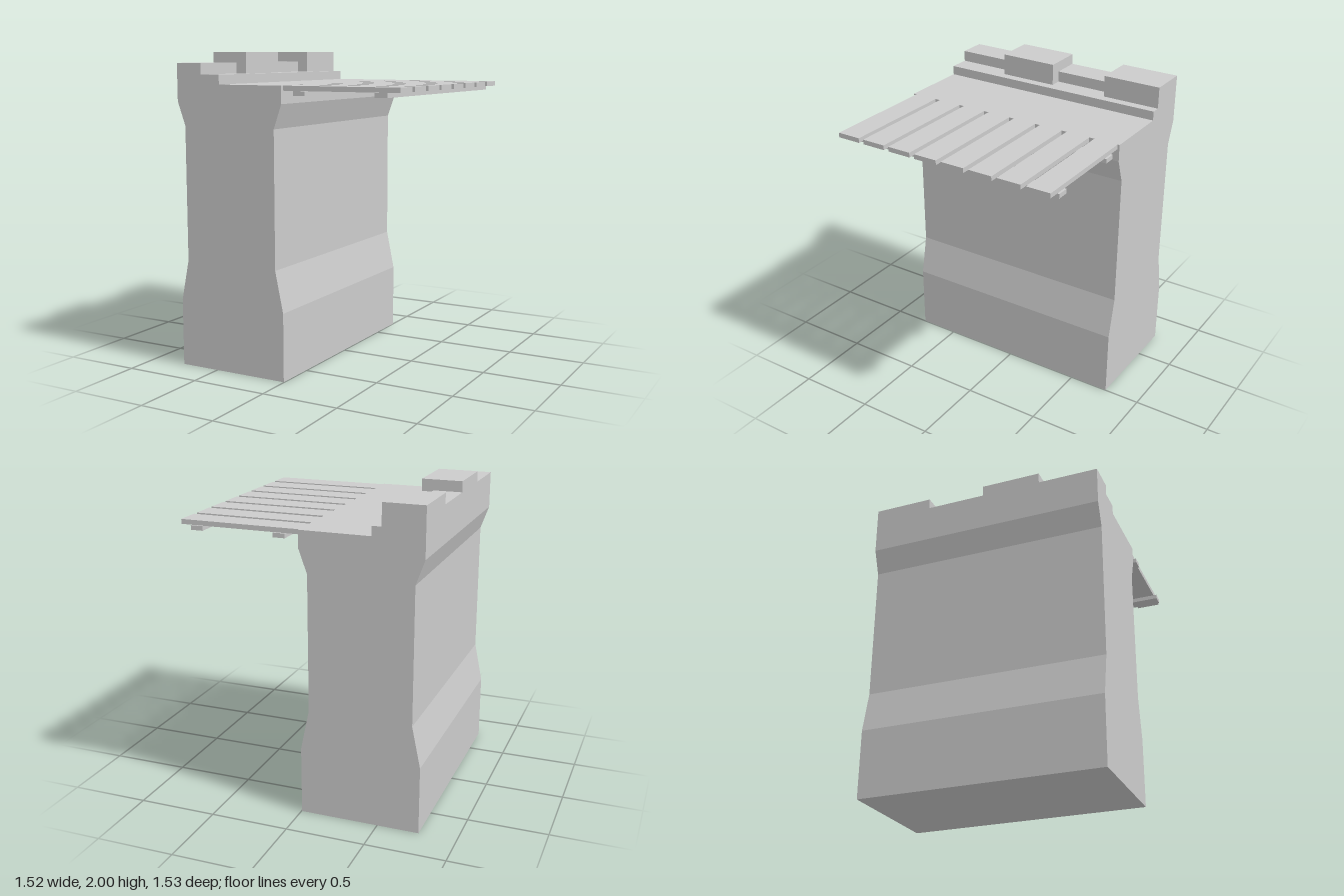
import * as THREE from 'three';

const material = new THREE.MeshStandardMaterial({ color: 0xcccccc, flatShading: true });
const HALF = 0.763; // half length of the wall along z

export function createModel() {
  const model = new THREE.Group();
  model.name = 'castleWall';

  // Box given by its limits on each axis
  const addBox = (name, [x0, x1], [y0, y1], [z0, z1]) => {
    const mesh = new THREE.Mesh(new THREE.BoxGeometry(x1 - x0, y1 - y0, z1 - z0), material);
    mesh.position.set((x0 + x1) / 2, (y0 + y1) / 2, (z0 + z1) / 2);
    mesh.name = name;
    model.add(mesh);
  };

  // Wall body: flared foot, narrow middle, flared top and parapet ledge
  const profile = [
    [-0.763, 0], [-0.003, 0], [-0.003, 0.43], [-0.057, 0.69], [-0.057, 1.545], [-0.003, 1.695],
    [-0.003, 1.803], [-0.448, 1.803], [-0.448, 1.862], [-0.763, 1.862],
    [-0.763, 1.695], [-0.709, 1.545], [-0.709, 0.69], [-0.763, 0.43],
  ].map(([x, y]) => new THREE.Vector2(x, y));
  const wallGeometry = new THREE.ExtrudeGeometry(new THREE.Shape(profile), {
    depth: 2 * HALF, bevelEnabled: false,
  });
  wallGeometry.translate(0, 0, -HALF);
  const wall = new THREE.Mesh(wallGeometry, material);
  wall.name = 'wall';
  model.add(wall);

  // Battlements: tall merlons alternating with low crenels
  for (let i = 0; i < 4; i++) {
    const z = [-HALF + i * HALF / 2, -HALF + (i + 1) * HALF / 2];
    if (i % 2 === 0) addBox('merlon', [-0.763, -0.507], [1.862, 2], z);
    else addBox('crenel', [-0.763, -0.582], [1.862, 1.932], z);
  }

  // Wooden platform: planks across two long beams
  for (let i = 0; i < 8; i++) {
    const z = -0.672 + i * 0.1909;
    addBox('plank', [-0.004, 0.76], [1.773, 1.803], [z - 0.078, z + 0.078]);
  }
  addBox('innerBeam', [0.08, 0.156], [1.745, 1.773], [-HALF, HALF]);
  addBox('outerBeam', [0.612, 0.69], [1.745, 1.773], [-HALF, HALF]);

  return model;
}
